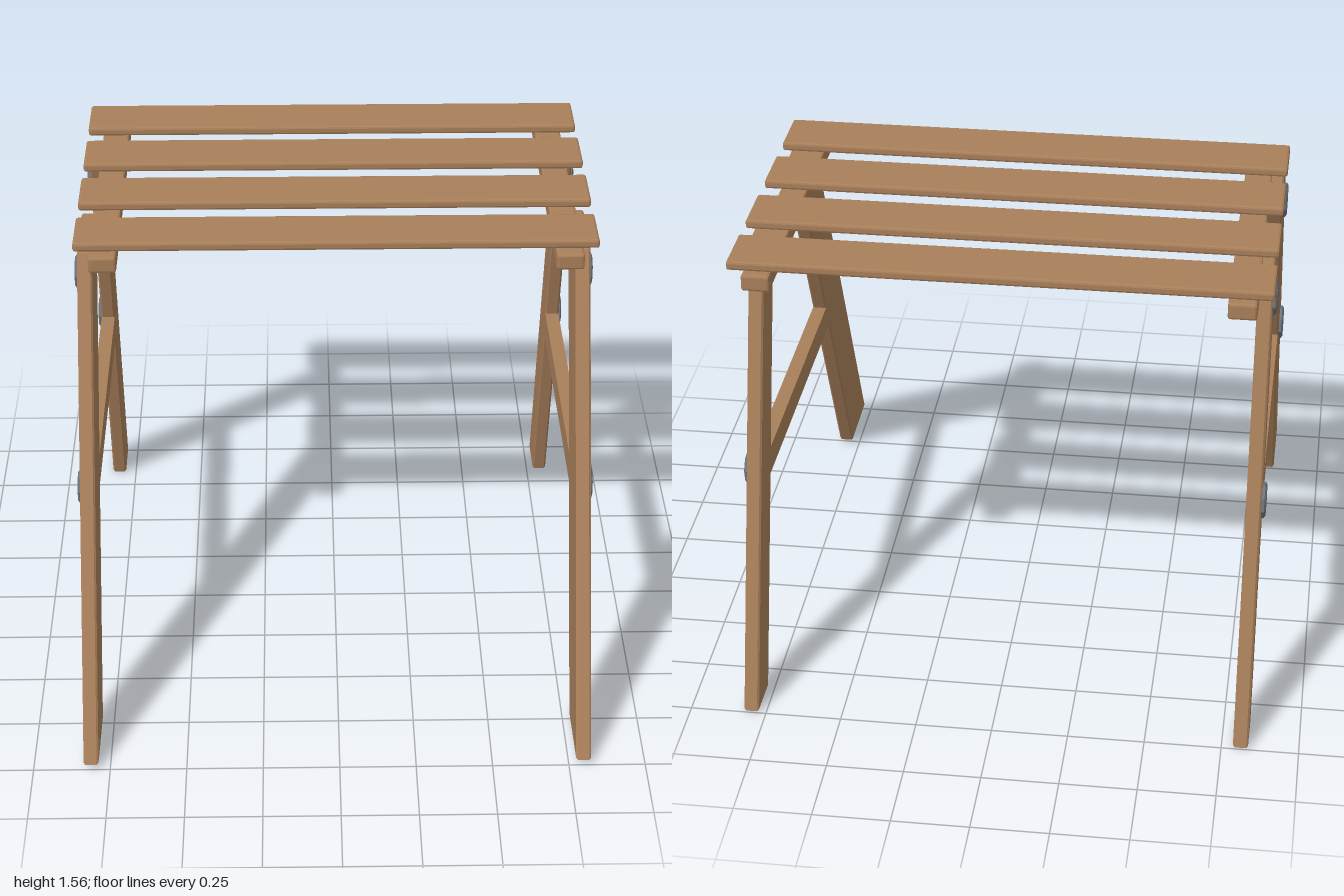
import * as THREE from 'three';
import { RoundedBoxGeometry } from 'three/addons/geometries/RoundedBoxGeometry.js';

const wood = new THREE.MeshStandardMaterial({ color: 0xa87f5a, flatShading: true });
const steel = new THREE.MeshStandardMaterial({ color: 0x6c757d, flatShading: true });

function part(name, geometry, material, x = 0, y = 0, z = 0) {
  const mesh = new THREE.Mesh(geometry, material);
  mesh.name = name;
  mesh.position.set(x, y, z);
  return mesh;
}

// Board cut from a side outline of [z, y] points, centred on x = 0, with softened edges
function sideBoard(points, thickness) {
  const bevel = 0.006;
  const shape = new THREE.Shape(points.map(([z, y]) => new THREE.Vector2(z, y)));
  const geometry = new THREE.ExtrudeGeometry(shape, {
    depth: thickness - 2 * bevel, bevelThickness: bevel, bevelSize: bevel,
    bevelOffset: -bevel, bevelSegments: 1,
  });
  geometry.translate(0, 0, bevel - thickness / 2);
  return geometry.rotateY(-Math.PI / 2);
}

// Low bolt head with a chamfered rim, pointing along +x
function boltHead() {
  const profile = [[0, -0.01], [0.058, -0.01], [0.058, 0.008], [0.05, 0.013], [0, 0.013]];
  const geometry = new THREE.LatheGeometry(profile.map(([r, h]) => new THREE.Vector2(r, h)), 8);
  return geometry.rotateZ(-Math.PI / 2).rotateX(0.2);
}

export function createModel() {
  const model = new THREE.Group();
  model.name = 'slattedStool';

  // Seat slats
  const slat = new RoundedBoxGeometry(1.695, 0.03, 0.196, 1, 0.008);
  [0.187, -0.108, -0.403, -0.692].forEach((z) => {
    model.add(part('seatSlat', slat, wood, 0, 1.547, z));
  });

  const frontLeg = sideBoard([
    [1.0, 0.022], [0.738, 0.017], [-0.015, 1.515], [-0.008, 1.525],
    [0.238, 1.525], [0.252, 1.512],
  ], 0.049);
  const rearLeg = sideBoard([
    [-0.845, 0.003], [-1.0, 0.009], [-0.572, 1.524], [-0.417, 1.526],
  ], 0.049);
  const rail = new RoundedBoxGeometry(0.09, 0.055, 1.14, 1, 0.008);
  const stretcher = new THREE.BoxGeometry(0.047, 0.087, 1.04);
  const bolt = boltHead();

  // Side frames; the rails sit inside the legs and the bolts outside
  for (const side of [1, -1]) {
    const frame = new THREE.Group();
    frame.name = side > 0 ? 'leftFrame' : 'rightFrame';
    const x = side > 0 ? 0.798 : -0.812;
    frame.add(
      part('frontLeg', frontLeg, wood, x),
      part('rearLeg', rearLeg, wood, x),
      part('seatRail', rail, wood, side * 0.752, 1.503, -0.245),
      part('stretcher', stretcher, wood, x, 0.757, -0.135),
    );
    for (const [z, y] of [[0.18, 1.407], [-0.525, 1.412], [0.49, 0.775], [-0.707, 0.775]]) {
      const head = part('bolt', bolt, steel, x + side * 0.0245, y, z);
      if (side < 0) head.rotation.y = Math.PI;
      frame.add(head);
    }
    model.add(frame);
  }
  return model;
}
